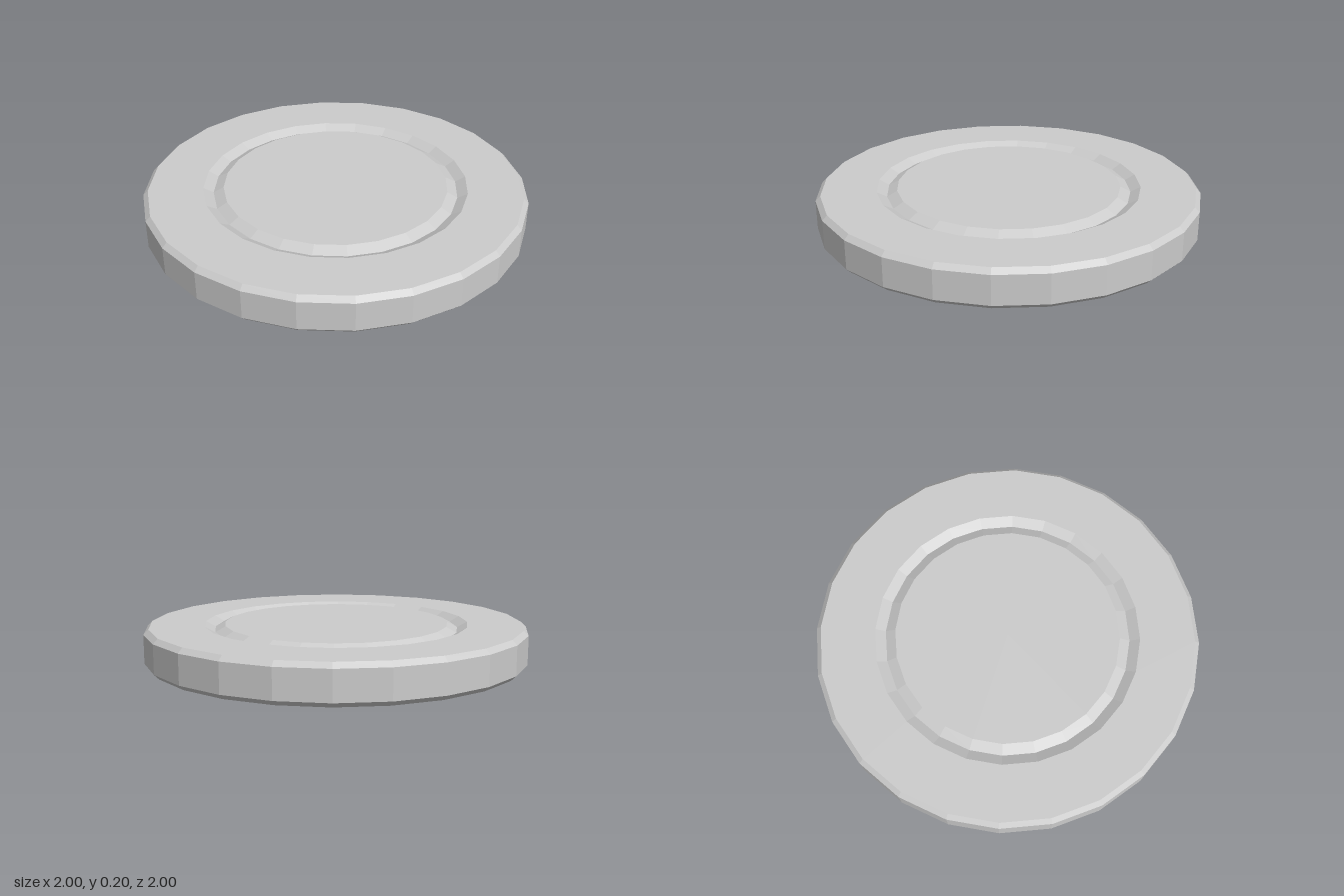
import * as THREE from 'three';

const SIDES = 24;
const HEIGHT = 0.2;
const BEVEL = 0.025;
const GROOVE = { inner: 0.585, middle: 0.638, outer: 0.69, depth: 0.028 };

const material = new THREE.MeshStandardMaterial({ color: 0xcccccc, flatShading: true });

// Profile points are [radius, height], listed from the underside outwards and up
function lathePart(name, profile) {
  const points = profile.map(([r, y]) => new THREE.Vector2(r, y));
  const mesh = new THREE.Mesh(new THREE.LatheGeometry(points, SIDES), material);
  mesh.name = name;
  return mesh;
}

// Flat centre, V-shaped groove and outer ring of one side of the disc
function addFace(group, prefix, isTop) {
  const level = (depth) => (isTop ? HEIGHT - depth : depth);
  const add = (name, profile) =>
    group.add(lathePart(prefix + name, isTop ? profile.reverse() : profile));
  add('Centre', [[0, level(0)], [GROOVE.inner, level(0)]]);
  add('Groove', [
    [GROOVE.inner, level(0)],
    [GROOVE.middle, level(GROOVE.depth)],
    [GROOVE.outer, level(0)],
  ]);
  add('Ring', [[GROOVE.outer, level(0)], [1 - BEVEL, level(0)]]);
}

export function createModel() {
  const group = new THREE.Group();
  group.name = 'disc';

  // Bevelled outer edge
  group.add(lathePart('edge', [
    [1 - BEVEL, 0],
    [1, BEVEL],
    [1, HEIGHT - BEVEL],
    [1 - BEVEL, HEIGHT],
  ]));

  // Matching grooved faces
  addFace(group, 'top', true);
  addFace(group, 'bottom', false);
  return group;
}
